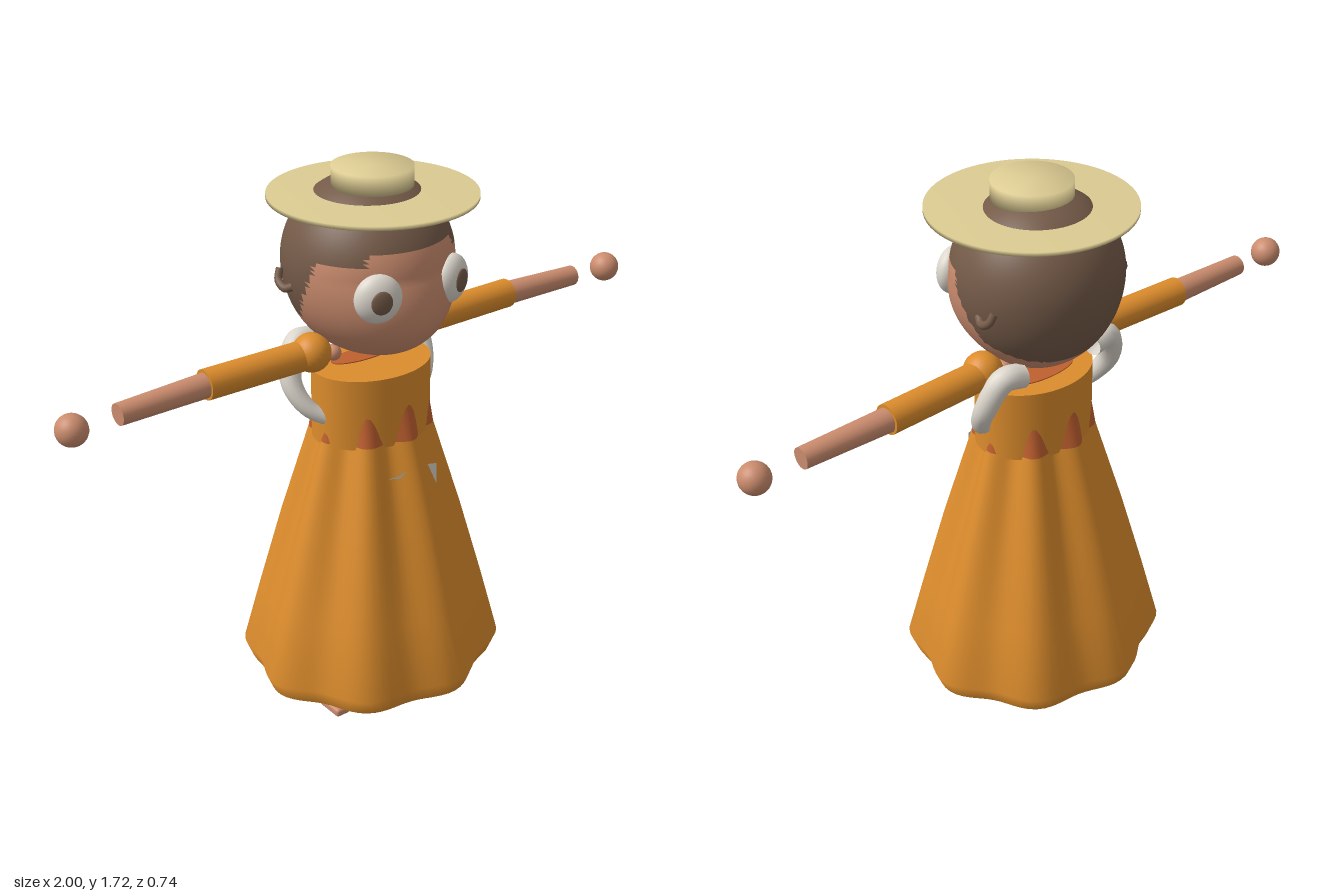
import * as THREE from 'three';
import { mergeVertices } from 'three/addons/utils/BufferGeometryUtils.js';
import { RoundedBoxGeometry } from 'three/addons/geometries/RoundedBoxGeometry.js';

const mat = (name, color, side = THREE.FrontSide) =>
  Object.assign(new THREE.MeshStandardMaterial({ color, side }), { name });

// Welds seams and recomputes smooth normals
function smooth(geo) {
  geo.deleteAttribute('uv');
  geo.deleteAttribute('normal');
  const g = mergeVertices(geo, 1e-5);
  g.computeVertexNormals();
  return g;
}

// Fluted elliptical cloth; rows are [y, radiusX, radiusZ, flute depth] from bottom to top
function flutedCloth(rows) {
  const geo = new THREE.LatheGeometry(rows.map(r => new THREE.Vector2(1, r[0])), 96);
  const p = geo.attributes.position;
  for (let i = 0; i < p.count; i++) {
    const [y, rx, rz, depth] = rows[i % rows.length];
    const a = Math.atan2(-p.getZ(i), p.getX(i));
    const wave = depth * Math.cos(8 * (a - 0.14));
    p.setXYZ(i, Math.cos(a) * (rx + wave), y, -Math.sin(a) * (rz + wave));
  }
  return smooth(geo);
}

// Head: a sphere with a fuller jaw, its faces sorted into hair and skin
function headGeometry() {
  const geo = smooth(new THREE.SphereGeometry(1, 80, 64));
  const p = geo.attributes.position;
  for (let i = 0; i < p.count; i++) {
    const x = p.getX(i), y = p.getY(i), z = p.getZ(i);
    const jaw = z > 0 && y < 0 ? -0.1 * z * y : 0;
    p.setXYZ(i, 0.247 * x, 1.45 + y * (y > 0 ? 0.24 : 0.28), -0.02 + z * (z > 0 ? 0.25 : 0.235) + jaw);
  }
  geo.computeVertexNormals();
  const isSkin = (y, z) => {
    if (y < 1.255) return true;
    if (y > (z > 0.17 ? 1.53 : 1.495)) return false;
    if (y > 1.46) return z > 0.05;
    if (y > 1.31) return z > -0.04 + (y - 1.31) * 0.58;
    return z > -0.16 + (y - 1.255) * 2.18;
  };
  const hair = [], skin = [], idx = geo.index.array;
  for (let i = 0; i < idx.length; i += 3) {
    const tri = [idx[i], idx[i + 1], idx[i + 2]];
    const mean = get => tri.reduce((s, k) => s + get(k), 0) / 3;
    (isSkin(mean(k => p.getY(k)), mean(k => p.getZ(k))) ? skin : hair).push(...tri);
  }
  geo.setIndex([...hair, ...skin]);
  geo.addGroup(0, hair.length, 0);
  geo.addGroup(hair.length, skin.length, 1);
  return geo;
}

// Tube along points, tapering towards its far end
function taperedTube(points, radius, endScale) {
  const curve = new THREE.CatmullRomCurve3(points.map(q => new THREE.Vector3(...q)));
  const n = 32, sides = 14;
  const geo = new THREE.TubeGeometry(curve, n, radius, sides);
  const p = geo.attributes.position, v = new THREE.Vector3();
  for (let i = 0; i < p.count; i++) {
    const t = Math.floor(i / (sides + 1)) / n;
    const c = curve.getPointAt(t);
    v.fromBufferAttribute(p, i).sub(c).multiplyScalar(1 + (endScale - 1) * t * t).add(c);
    p.setXYZ(i, v.x, v.y, v.z);
  }
  return smooth(geo);
}

export function createModel() {
  const model = new THREE.Group();
  model.name = 'figure';
  const orange = mat('orange cloth', 0xdc8c2c);
  const orangeOpen = mat('orange skirt cloth', 0xdc8c2c, THREE.DoubleSide);
  const rust = mat('rust trim', 0xc0602f, THREE.DoubleSide);
  const skin = mat('skin', 0xcb8c6e);
  const hair = mat('brown hair', 0x745a48);
  const cream = mat('cream straw', 0xdccb92);
  const white = mat('off white', 0xdcd6cc, THREE.DoubleSide);

  const add = (name, geo, material, pos = [0, 0, 0], parent = model) => {
    const m = new THREE.Mesh(geo, material);
    m.name = name;
    m.position.set(...pos);
    parent.add(m);
    return m;
  };
  const ball = (r, w = 24) => new THREE.SphereGeometry(r, w, w / 2 + 4);
  const rod = (name, a, b, r0, r1, material) => {
    const A = new THREE.Vector3(...a), B = new THREE.Vector3(...b), d = B.clone().sub(A);
    const m = add(name, new THREE.CylinderGeometry(r1, r0, d.length(), 24), material,
      A.clone().add(B).multiplyScalar(0.5).toArray());
    m.quaternion.setFromUnitVectors(new THREE.Vector3(0, 1, 0), d.normalize());
    return m;
  };

  // Head and flat hat
  add('head', headGeometry(), [hair, skin]);
  const disc = (r, y0, y1) => new THREE.LatheGeometry(
    [[0, y0], [r, y0], [r, y1], [0, y1]].map(q => new THREE.Vector2(...q)), 64);
  add('hatBrim', disc(0.295, 1.629, 1.641), cream, [0, 0, 0.008]);
  add('hatCrown', disc(0.115, 1.66, 1.715), cream, [0, 0, 0.006]);

  // Dress
  const bodice = add('bodice', new THREE.CylinderGeometry(1, 1, 0.215, 64), orange, [0, 1.0275, 0]);
  bodice.scale.set(0.187, 1, 0.146);
  const neckPatch = add('necklinePatch', new THREE.CylinderGeometry(1, 1, 0.004, 40), rust, [0, 1.136, -0.04]);
  neckPatch.scale.set(0.11, 1, 0.04);
  add('skirt', flutedCloth([
    [0.15, 0.368, 0.34, 0.015], [0.2, 0.388, 0.358, 0.017], [0.4, 0.335, 0.303, 0.017],
    [0.65, 0.262, 0.237, 0.017], [0.93, 0.177, 0.155, 0.014]]), orangeOpen);
  add('waistTrim', flutedCloth([
    [0.93, 0.177, 0.155, 0.014], [0.985, 0.17, 0.144, 0.013], [1.04, 0.163, 0.133, 0.012]]), rust);

  // Small white slivers on the skirt front
  const sliver = (pts, z) => {
    const s = new THREE.Shape(pts.map(q => new THREE.Vector2(...q)));
    add('skirtSliver', new THREE.ShapeGeometry(s), white, [0, 0, z]);
  };
  sliver([[-0.095, 0.855], [-0.05, 0.843], [-0.025, 0.858], [-0.06, 0.852]], 0.2);
  sliver([[0.055, 0.855], [0.09, 0.78], [0.088, 0.848]], 0.196);

  for (const s of [1, -1]) {
    const side = s > 0 ? 'left' : 'right';
    // Eye with pupil, turned to follow the face
    const eye = new THREE.Group();
    eye.name = side + 'Eye';
    eye.position.set(s * 0.127, 1.413, 0.195);
    eye.rotation.y = s * 0.35;
    model.add(eye);
    add(side + 'EyeWhite', ball(1, 32), white, [0, 0, 0], eye).scale.set(0.068, 0.07, 0.04);
    add(side + 'Pupil', ball(1), hair, [0, 0, 0.034], eye).scale.set(0.031, 0.034, 0.01);
    // Ear
    add(side + 'Ear', taperedTube([[s * 0.235, 1.4, -0.045], [s * 0.247, 1.39, -0.07],
      [s * 0.247, 1.405, -0.1], [s * 0.235, 1.435, -0.11]], 0.012, 0.9), hair);

    // Arm, with sleeve and separate hand
    add(side + 'ArmRoot', ball(0.024), skin, [s * 0.125, 1.183, -0.015]);
    add(side + 'Shoulder', ball(0.057), orange, [s * 0.2, 1.203, -0.015]);
    rod(side + 'Sleeve', [s * 0.2, 1.198, -0.02], [s * 0.545, 1.195, -0.03], 0.044, 0.044, orange);
    rod(side + 'Forearm', [s * 0.53, 1.194, -0.03], [s * 0.817, 1.189, -0.025], 0.036, 0.031, skin);
    add(side + 'Hand', ball(0.045), skin, [s * 0.955, 1.188, -0.02]);

    // Curved white scarf end wrapped round the shoulder
    add(side + 'Scarf', taperedTube([[s * 0.13, 1.2, -0.1], [s * 0.195, 1.205, -0.095],
      [s * 0.238, 1.11, -0.065], [s * 0.215, 1.035, -0.02], [s * 0.14, 0.98, 0.03]], 0.036, 0.45), white);

    // Leg and foot
    rod(side + 'Thigh', [s * 0.165, 0.29, -0.01], [s * 0.12, 0.85, 0], 0.05, 0.05, skin);
    rod(side + 'LowerLeg', [s * 0.17, 0.052, -0.027], [s * 0.165, 0.31, -0.01], 0.039, 0.042, skin);
    add(side + 'Foot', new RoundedBoxGeometry(0.052, 0.028, 0.094, 3, 0.01), skin, [s * 0.17, 0.014, 0.037]);
  }
  return model;
}
